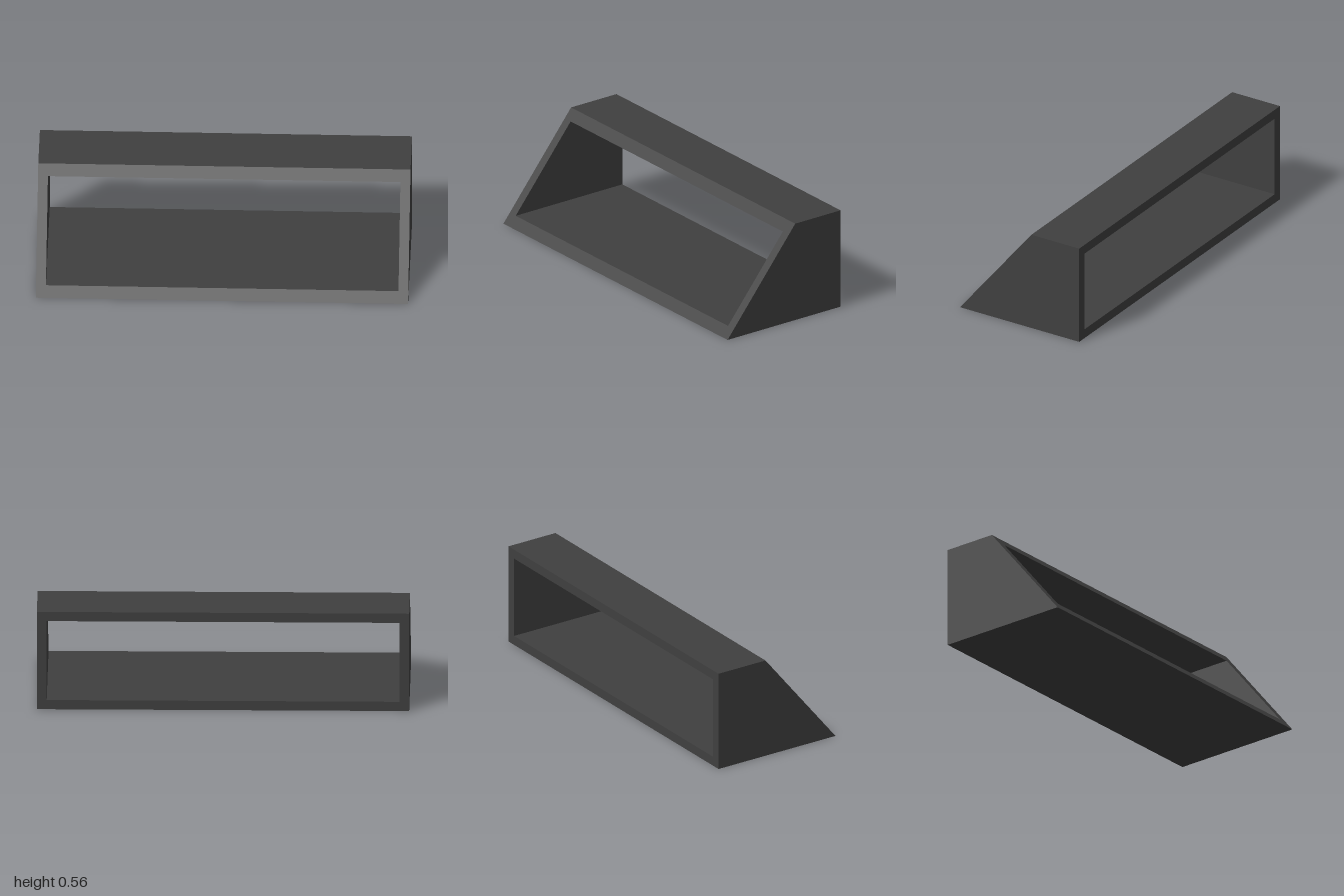
import * as THREE from 'three';

const WIDTH = 2, HEIGHT = 0.562, WALL = 0.053;
const BACK = -0.38, FRONT_BOTTOM = 0.38, FRONT_TOP = -0.075;

// Closed rectangle path, inset from the outer outline
function rectangle(path, inset) {
  const x = WIDTH / 2 - inset;
  path.moveTo(-x, inset);
  path.lineTo(x, inset);
  path.lineTo(x, HEIGHT - inset);
  path.lineTo(-x, HEIGHT - inset);
  path.closePath();
  return path;
}

export function createModel() {
  const group = new THREE.Group();
  group.name = 'slopedFrame';

  const charcoal = new THREE.MeshStandardMaterial({ color: 0x404040 });
  charcoal.name = 'charcoal';

  // Rectangular tube, open at front and back
  const outline = rectangle(new THREE.Shape(), 0);
  outline.holes.push(rectangle(new THREE.Path(), WALL));
  const geometry = new THREE.ExtrudeGeometry(outline, { depth: 1, bevelEnabled: false });

  // Cut the front end along a slope leaning back toward the top
  const position = geometry.attributes.position;
  for (let i = 0; i < position.count; i++) {
    const front = THREE.MathUtils.lerp(FRONT_BOTTOM, FRONT_TOP, position.getY(i) / HEIGHT);
    position.setZ(i, position.getZ(i) > 0.5 ? front : BACK);
  }
  geometry.computeVertexNormals();

  const housing = new THREE.Mesh(geometry, charcoal);
  housing.name = 'housing';
  group.add(housing);
  return group;
}
